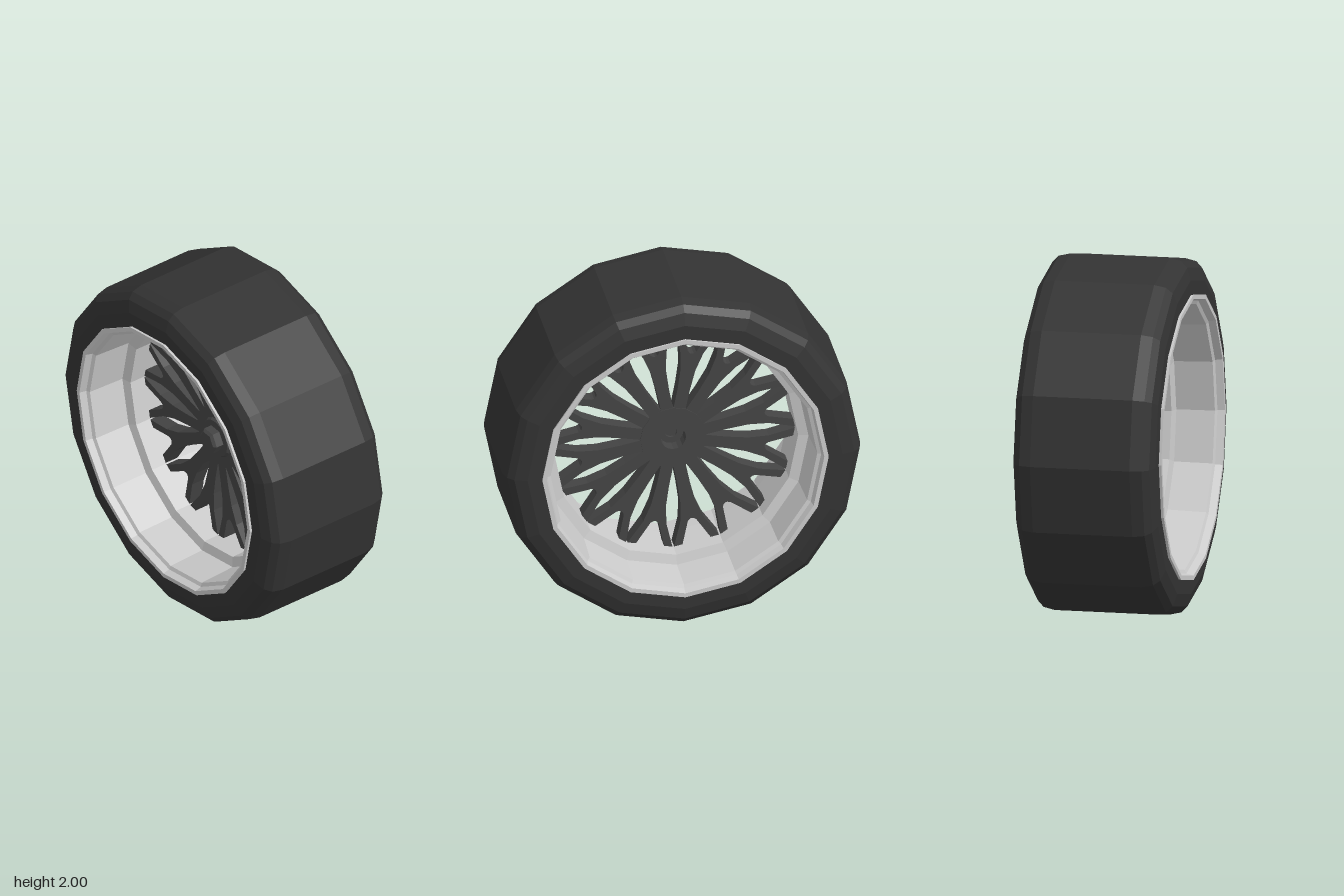
import * as THREE from 'three';

const SIDES = 16;

function material(color) {
  return new THREE.MeshStandardMaterial({ color, flatShading: true });
}

// Revolves [radius, x] points about the x axis; outer surfaces run toward +x.
function revolve(name, profile, mat, sides = SIDES) {
  const points = profile.map(([r, x]) => new THREE.Vector2(r, x));
  const geometry = new THREE.LatheGeometry(points, sides);
  geometry.rotateZ(-Math.PI / 2);
  const mesh = new THREE.Mesh(geometry, mat);
  mesh.name = name;
  return mesh;
}

// Closed profile, symmetric about x = 0, from the outer and inner +x halves.
function mirroredProfile(outer, inner) {
  const flip = (list) => list.map(([r, x]) => [r, -x]).reverse();
  const loop = [...flip(outer), ...outer, ...inner, ...flip(inner)];
  return [...loop, loop[0]];
}

// Y-shaped spoke outline: v runs outward from the hub.
function spokeGeometry(depth) {
  const shape = new THREE.Shape();
  shape.moveTo(-0.034, 0.14);
  shape.lineTo(0.034, 0.14);
  shape.lineTo(0.035, 0.3);
  shape.lineTo(0.042, 0.42);
  shape.lineTo(0.066, 0.53);
  shape.lineTo(0.128, 0.667);
  shape.lineTo(0.08, 0.667);
  shape.lineTo(0.024, 0.535);
  shape.quadraticCurveTo(0, 0.505, -0.024, 0.535);
  shape.lineTo(-0.08, 0.667);
  shape.lineTo(-0.128, 0.667);
  shape.lineTo(-0.066, 0.53);
  shape.lineTo(-0.042, 0.42);
  shape.lineTo(-0.035, 0.3);
  shape.closePath();
  const geometry = new THREE.ExtrudeGeometry(shape, { depth, bevelEnabled: false, curveSegments: 4 });
  geometry.translate(0, 0, -depth / 2);
  geometry.rotateY(Math.PI / 2);
  return geometry;
}

export function createModel() {
  const model = new THREE.Group();
  model.name = 'wheel';
  const wheel = new THREE.Group();
  wheel.name = 'wheelAssembly';
  wheel.position.y = 1;
  model.add(wheel);

  const rubber = material(0x333333);
  const darkMetal = material(0x444444);
  const rimMetal = material(0xcccccc);

  // Tyre with rounded shoulders
  wheel.add(revolve('tyre', mirroredProfile(
    [[1, 0.28], [0.985, 0.345], [0.95, 0.38], [0.88, 0.4]],
    [[0.79, 0.4]],
  ), rubber));

  // Rim: thin lips, wide barrels and a raised central band
  wheel.add(revolve('rim', mirroredProfile(
    [[0.795, 0.38], [0.8, 0.415]],
    [[0.775, 0.415], [0.765, 0.375], [0.745, 0.365], [0.735, 0.15], [0.68, 0.135]],
  ), rimMetal));

  // Forked spokes
  const spokes = new THREE.Group();
  spokes.name = 'spokes';
  const geometry = spokeGeometry(0.08);
  for (let i = 0; i < SIDES; i++) {
    const spoke = new THREE.Mesh(geometry, darkMetal);
    spoke.name = 'spoke';
    spoke.rotation.x = ((i + 0.5) / SIDES) * Math.PI * 2;
    spokes.add(spoke);
  }
  wheel.add(spokes);

  // Hub with a stepped bore on the outer face and a boss behind
  wheel.add(revolve('hub', [
    [0, -0.06], [0.11, -0.06], [0.12, -0.045], [0.185, -0.045], [0.185, 0.045],
    [0.07, 0.045], [0.07, -0.03], [0.035, -0.03], [0.035, -0.045], [0, -0.045],
  ], darkMetal));

  // Six-sided nut on the inner face
  wheel.add(revolve('hubNut', [
    [0, -0.12], [0.06, -0.12], [0.075, -0.105], [0.075, -0.055], [0, -0.055],
  ], darkMetal, 6));

  return model;
}
